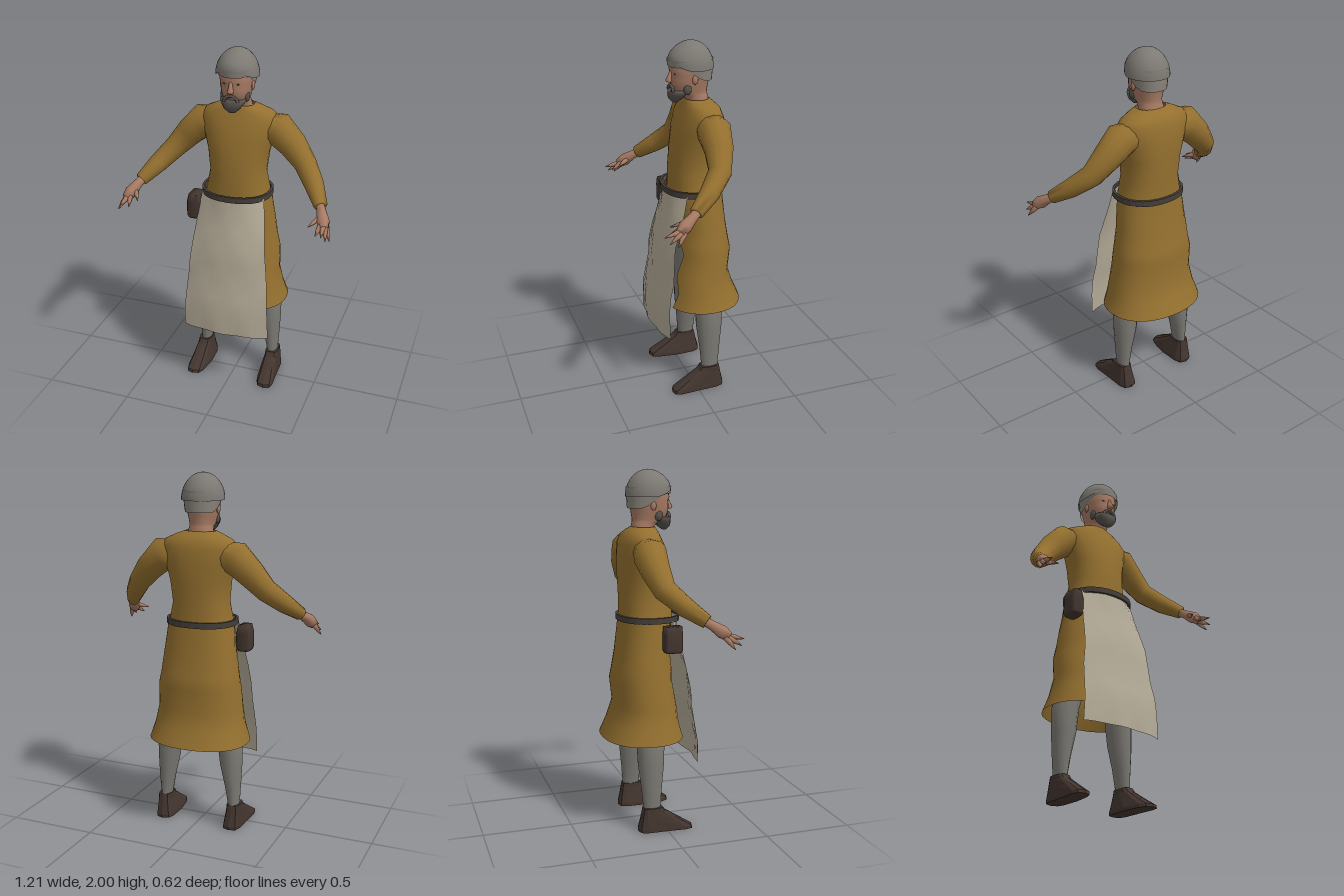
import * as THREE from 'three';

const mat = (name, color) => new THREE.MeshStandardMaterial({ name, color, side: THREE.DoubleSide });
const V = (x, y, z) => new THREE.Vector3(x, y, z);

// Surface through rows of points; closed joins each row's ends, cap fills the first and last rows
function loft(name, rows, material, { closed = true, cap = false, flat = false } = {}) {
  const n = rows[0].length, pts = rows.flat(), idx = [];
  for (let i = 0; i < rows.length - 1; i++)
    for (let j = 0; j < (closed ? n : n - 1); j++) {
      const k = (j + 1) % n, a = i * n + j, b = i * n + k;
      idx.push(a, b, b + n, a, b + n, a + n);
    }
  if (cap) {
    const e = (rows.length - 1) * n;
    for (let j = 1; j < n - 1; j++) idx.push(0, j + 1, j, e, e + j, e + j + 1);
  }
  let g = new THREE.BufferGeometry().setFromPoints(pts);
  g.setIndex(idx);
  if (flat) g = g.toNonIndexed();
  g.computeVertexNormals();
  const m = new THREE.Mesh(g, material);
  m.name = name;
  return m;
}

// Horizontal rounded ring from zb (back) to zf (front); a gap leaves the front open
function ring(y, cx, rx, zf, zb, { n = 24, gap = 0, pow = 0.9 } = {}) {
  const round = v => Math.sign(v) * Math.abs(v) ** pow, open = gap > 0;
  return Array.from({ length: n }, (_, j) => {
    const a = open ? gap + (j / (n - 1)) * (2 * Math.PI - 2 * gap) : (j / n) * 2 * Math.PI;
    return V(cx + rx * round(Math.sin(a)), y, (zf + zb) / 2 + ((zf - zb) / 2) * round(Math.cos(a)));
  });
}

// Rings square to a path of [x, y, z, radius]
function limb(name, path, material, n = 12) {
  const p = path.map(q => V(q[0], q[1], q[2]));
  const rows = p.map((c, i) => {
    const d = p[Math.min(i + 1, p.length - 1)].clone().sub(p[Math.max(i - 1, 0)]).normalize();
    const u = V(0, 0, 1).cross(d).normalize(), v = d.clone().cross(u);
    return Array.from({ length: n }, (_, j) => {
      const a = (j / n) * 2 * Math.PI;
      return c.clone().addScaledVector(u, path[i][3] * Math.cos(a)).addScaledVector(v, path[i][3] * Math.sin(a));
    });
  });
  return loft(name, rows, material, { cap: true });
}

export function createModel() {
  const tunic = mat('ochre cloth', 0x94702f), linen = mat('linen', 0xb5ac98), steel = mat('helmet grey', 0x7d7973);
  const hose = mat('hose grey', 0x7c7a74), leather = mat('belt leather', 0x453e3a), shoeMat = mat('shoe leather', 0x43352f);
  const skin = mat('skin', 0xa87b64), hair = mat('beard grey', 0x57524d), coifMat = mat('coif grey', 0x8a857c);
  const model = new THREE.Group();
  model.name = 'apronedMan';

  // Tunic body and skirt, the skirt open at the front behind the apron
  model.add(loft('tunicBody', [
    [1.17, 0.186, 0.09, -0.2], [1.3, 0.158, 0.09, -0.2], [1.42, 0.172, 0.078, -0.205], [1.52, 0.2, 0.06, -0.205],
    [1.6, 0.222, 0.035, -0.196], [1.645, 0.195, 0.015, -0.18], [1.67, 0.14, 0.008, -0.155], [1.69, 0.085, 0.0, -0.13],
  ].map(r => ring(r[0], 0, ...r.slice(1))), tunic));
  model.add(loft('tunicSkirt', [
    [1.2, 0.186, 0.085, -0.2, 0.05], [1.12, 0.195, 0.085, -0.208, 0.3], [1.0, 0.212, 0.075, -0.22, 0.6],
    [0.9, 0.225, 0.085, -0.237, 0.5], [0.83, 0.238, 0.09, -0.25, 0.65], [0.7, 0.245, 0.11, -0.236, 0.5],
    [0.6, 0.262, 0.13, -0.27, 0.65], [0.51, 0.29, 0.15, -0.31, 0.5],
  ].reverse().map(r => ring(r[0], 0, r[1], r[2], r[3], { gap: r[4], n: 30 })), tunic, { closed: false }));

  // Apron: curved rippled sheet, rows of [y, half width, middle z, edge setback]
  model.add(loft('apron', [
    [0.37, 0.255, 0.215, 0.04], [0.5, 0.25, 0.215, 0.04], [0.6, 0.243, 0.2, 0.035], [0.7, 0.235, 0.182, 0.035],
    [0.8, 0.226, 0.175, 0.035], [0.9, 0.215, 0.165, 0.04], [1.0, 0.203, 0.142, 0.045], [1.1, 0.192, 0.124, 0.055],
    [1.2, 0.178, 0.115, 0.075],
  ].map(([y, w, z, back], i) => Array.from({ length: 13 }, (_, j) => {
    const u = j / 6 - 1;
    return V(u * w, y, z - back * u * u + 0.004 * Math.sin(i * 1.9 + j * 1.4));
  })), linen, { closed: false }));

  // Belt and pouch
  model.add(loft('belt', [[0, 1.175], [0.014, 1.175], [0.014, 1.207], [0, 1.207], [0, 1.175]].map(([o, y]) =>
    ring(y, 0, 0.186 + o, 0.117 + o, -0.2 - o, { n: 28 })), leather, { flat: true }));
  const pouch = loft('pouch', [[1.02, 0.034, 0.045], [1.035, 0.042, 0.052], [1.12, 0.042, 0.052], [1.165, 0.03, 0.05]]
    .map(([y, rx, rz]) => ring(y, -0.225, rx, 0.035 + rz, 0.035 - rz, { n: 12, pow: 0.45 })), shoeMat, { cap: true });
  model.add(pouch);

  // Head, with the neck running down into the collar
  const head = new THREE.Group();
  head.name = 'head';
  model.add(head);
  head.add(loft('faceAndNeck', [
    [1.62, 0.08, -0.01, -0.14], [1.69, 0.068, -0.005, -0.13], [1.715, 0.064, 0.02, -0.125], [1.73, 0.068, 0.06, -0.124],
    [1.77, 0.078, 0.077, -0.13], [1.8, 0.084, 0.08, -0.138], [1.83, 0.088, 0.076, -0.142], [1.85, 0.09, 0.084, -0.145],
    [1.9, 0.088, 0.075, -0.145],
  ].map(r => ring(r[0], 0, ...r.slice(1))), skin));
  head.add(loft('nose', [[1.785, 0.018, 0.1], [1.795, 0.018, 0.108], [1.82, 0.011, 0.094], [1.845, 0.008, 0.083]]
    .map(([y, rx, zf]) => ring(y, 0, rx, zf, 0.06, { n: 8 })), skin, { cap: true }));
  head.add(loft('beard', [
    [1.672, 0.018, 0.07, 0.045], [1.695, 0.045, 0.09, 0.015], [1.72, 0.062, 0.092, -0.01], [1.742, 0.072, 0.088, -0.02],
  ].map(r => ring(r[0], 0, ...r.slice(1), { n: 16 })), hair, { cap: true }));
  const moustache = new THREE.Mesh(new THREE.TorusGeometry(0.034, 0.009, 6, 12, Math.PI), hair);
  moustache.name = 'moustache';
  moustache.position.set(0, 1.738, 0.078);
  moustache.scale.set(1.1, 0.85, 1);
  head.add(moustache);
  for (const s of [-1, 1]) {
    // Sideburns, eyes and ears
    const burn = new THREE.Mesh(new THREE.SphereGeometry(0.03, 8, 6), hair);
    burn.name = 'sideburn';
    burn.scale.set(0.45, 1, 0.8);
    burn.position.set(s * 0.068, 1.752, 0.005);
    const eye = new THREE.Mesh(new THREE.SphereGeometry(0.012, 8, 6), hair);
    eye.name = 'eye';
    eye.scale.set(1.1, 0.35, 0.3);
    eye.position.set(s * 0.035, 1.832, 0.068);
    const ear = new THREE.Mesh(new THREE.SphereGeometry(0.024, 8, 6), skin);
    ear.name = 'ear';
    ear.scale.set(0.4, 1.1, 0.7);
    ear.position.set(s * 0.088, 1.805, -0.03);
    head.add(burn, eye, ear);
  }

  // Coif band, lower at the back, under the helmet
  head.add(loft('coif', [0, 0.4, 1].map((t, i) => ring(0, 0, 0.093 + 0.006 * i, 0.09 + 0.002 * i, -0.15 - 0.003 * i)
    .map(p => {
      const low = 1.868 - 0.078 * THREE.MathUtils.smoothstep(0.06 - p.z, 0, 0.17);
      return V(p.x, low + t * (1.905 - low), p.z);
    })), coifMat));

  // Helmet: dome with the rim lifted at the brow
  const dome = new THREE.SphereGeometry(1, 28, 10, 0, Math.PI * 2, 0, Math.PI / 2);
  const q = dome.attributes.position;
  for (let i = 0; i < q.count; i++) {
    const y = q.getY(i), z = q.getZ(i), f = Math.max(0, z);
    q.setXYZ(i, q.getX(i) * 0.118, 1.853 + y * 0.147 + (1 - y) * 0.045 * f * f, -0.035 + z * 0.126);
  }
  dome.computeVertexNormals();
  const helmet = new THREE.Mesh(dome, steel);
  helmet.name = 'helmet';
  head.add(helmet);

  // One arm and leg, mirrored for the other side
  for (const s of [1, -1]) {
    const side = new THREE.Group();
    side.name = s > 0 ? 'leftLimbs' : 'rightLimbs';
    side.scale.x = s;
    model.add(side);
    side.add(limb('sleeve', [
      [0.12, 1.57, -0.09, 0.07], [0.215, 1.555, -0.09, 0.093], [0.3, 1.475, -0.085, 0.078], [0.38, 1.385, -0.06, 0.062],
      [0.455, 1.305, 0.025, 0.053], [0.518, 1.235, 0.12, 0.037],
    ], tunic));
    side.add(limb('palm', [[0.505, 1.245, 0.1, 0.024], [0.53, 1.217, 0.145, 0.026], [0.55, 1.185, 0.19, 0.036],
      [0.565, 1.16, 0.222, 0.026]], skin, 8));
    // Fingers and thumb
    for (const [a, b] of [
      [[0.572, 1.16, 0.2], [0.602, 1.098, 0.245]], [[0.57, 1.158, 0.215], [0.588, 1.115, 0.285]],
      [[0.56, 1.165, 0.22], [0.568, 1.145, 0.307]], [[0.545, 1.17, 0.215], [0.53, 1.132, 0.275]],
      [[0.53, 1.195, 0.175], [0.485, 1.165, 0.25]],
    ]) side.add(limb('finger', [[...a, 0.017], [...a.map((v, i) => (v + b[i]) / 2), 0.012], [...b, 0.002]], skin, 6));

    side.add(loft('leg', [
      [0.13, 0.212, 0.03, -0.03, -0.13], [0.25, 0.205, 0.045, -0.02, -0.14], [0.38, 0.193, 0.063, -0.005, -0.155],
      [0.52, 0.185, 0.073, 0.0, -0.16], [0.7, 0.14, 0.08, 0.01, -0.165], [0.95, 0.1, 0.09, 0.02, -0.17],
    ].map(r => ring(...r, { n: 14, pow: 1 })), hose));
    // Shoe: wedge narrowing from the sole up to the ankle, toe turned outwards
    side.add(loft('shoe', [
      [0, 0.21, 0.053, 0.155, -0.16], [0.018, 0.21, 0.053, 0.15, -0.162], [0.07, 0.213, 0.045, 0.065, -0.148],
      [0.115, 0.215, 0.038, -0.005, -0.138], [0.138, 0.215, 0.037, -0.022, -0.132],
    ].map(r => ring(...r, { n: 12, pow: 0.55 }).map(p => V(p.x + 0.05 * Math.max(0, p.z) * 2, p.y, p.z))),
    shoeMat, { cap: true, flat: true }));
  }
  return model;
}
